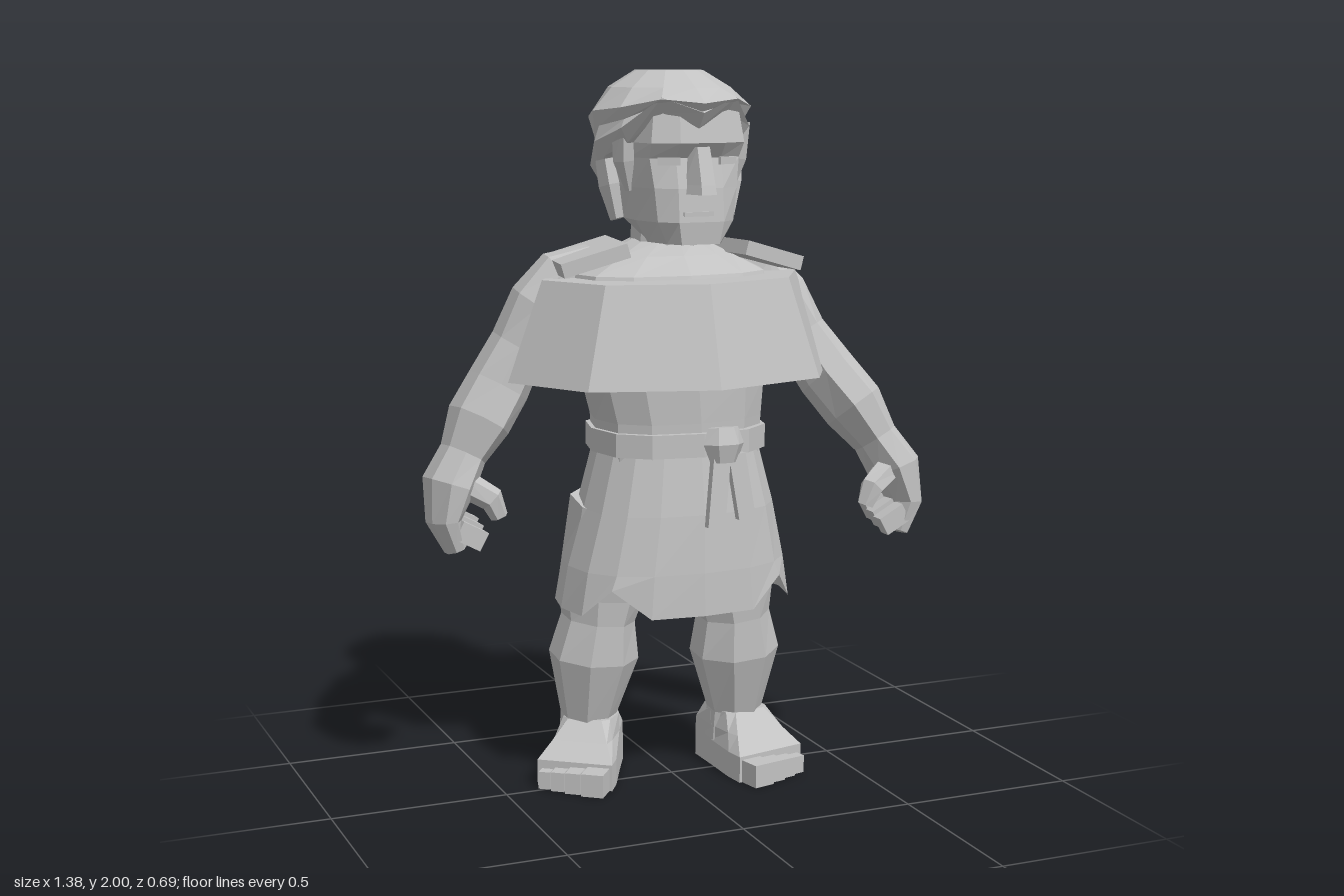
import * as THREE from 'three';

const stone = new THREE.MeshStandardMaterial({ color: 0xc2c2c2 });
stone.name = 'stone grey';
const cloth = stone.clone();
cloth.name = 'stone grey open cloth';
cloth.side = THREE.DoubleSide;

// Horizontal ring, counter-clockwise from above; p < 1 makes it squarer
function ring(cx, y, cz, rx, rz, n = 10, p = 1, turn = 0) {
  const pw = v => Math.sign(v) * Math.abs(v) ** p;
  return Array.from({ length: n }, (_, i) => {
    const a = (i / n) * Math.PI * 2 + turn;
    return new THREE.Vector3(cx + rx * pw(Math.sin(a)), y, cz + rz * pw(Math.cos(a)));
  });
}

// Ring mirrored in x from half an outline, front to back
function mirrorRing(y, half) {
  const right = half.map(([x, z]) => new THREE.Vector3(x, y, z));
  const left = half.map(([x, z]) => new THREE.Vector3(-x, y, z)).reverse();
  return [...right, ...left];
}

// Skin over rings listed from bottom to top
function loft(rings, capped = true) {
  const pos = [];
  const tri = (...v) => v.forEach(q => pos.push(q.x, q.y, q.z));
  const n = rings[0].length;
  for (let i = 0; i + 1 < rings.length; i++) {
    for (let j = 0; j < n; j++) {
      const k = (j + 1) % n;
      const a = rings[i][j], b = rings[i][k], c = rings[i + 1][k], d = rings[i + 1][j];
      tri(a, b, c);
      tri(a, c, d);
    }
  }
  if (capped) {
    [rings[0], rings[rings.length - 1]].forEach((r, top) => {
      const mid = r.reduce((s, v) => s.add(v), new THREE.Vector3()).divideScalar(n);
      for (let j = 0; j < n; j++) {
        const a = r[j], b = r[(j + 1) % n];
        top ? tri(mid, a, b) : tri(mid, b, a);
      }
    });
  }
  const g = new THREE.BufferGeometry();
  g.setAttribute('position', new THREE.Float32BufferAttribute(pos, 3));
  return g;
}

// Limb through [x, y, z, rx, rz] stations, bottom to top, rings square to the path
function limb(stations, n = 8) {
  const c = stations.map(s => new THREE.Vector3(s[0], s[1], s[2]));
  return loft(stations.map((s, i) => {
    const t = c[Math.min(i + 1, c.length - 1)].clone().sub(c[Math.max(i - 1, 0)]).normalize();
    const f = new THREE.Vector3(0, 0, 1).addScaledVector(t, -t.z).normalize();
    const r = new THREE.Vector3().crossVectors(t, f);
    return ring(0, 0, 0, s[3], s[4], n, 1, Math.PI / n)
      .map(v => c[i].clone().addScaledVector(r, v.x).addScaledVector(f, v.z));
  }));
}

function add(parent, name, geometry, material = stone) {
  const g = geometry.index ? geometry.toNonIndexed() : geometry;
  g.computeVertexNormals();
  const m = new THREE.Mesh(g, material);
  m.name = name;
  parent.add(m);
  return m;
}

function box(parent, name, size, at, rot = [0, 0, 0]) {
  const m = add(parent, name, new THREE.BoxGeometry(...size));
  m.position.set(...at);
  m.rotation.set(...rot);
  return m;
}

function addHead(root) {
  const head = new THREE.Group();
  head.name = 'head';
  root.add(head);
  add(head, 'neck', limb([[0, 1.44, -0.03, 0.13, 0.11], [0, 1.52, -0.03, 0.105, 0.1], [0, 1.64, -0.02, 0.1, 0.1]]));
  add(head, 'face', loft([
    mirrorRing(1.54, [[0.055, 0.205], [0.08, 0.16], [0.1, 0.07], [0.08, 0.02], [0.05, -0.06]]),
    mirrorRing(1.6, [[0.065, 0.212], [0.11, 0.17], [0.135, 0.07], [0.13, -0.03], [0.08, -0.12]]),
    mirrorRing(1.69, [[0.065, 0.205], [0.12, 0.17], [0.15, 0.08], [0.15, -0.05], [0.09, -0.15]]),
    mirrorRing(1.77, [[0.065, 0.187], [0.13, 0.16], [0.155, 0.08], [0.16, -0.05], [0.1, -0.16]]),
    mirrorRing(1.81, [[0.065, 0.22], [0.135, 0.185], [0.16, 0.08], [0.16, -0.05], [0.1, -0.16]]),
    mirrorRing(1.92, [[0.06, 0.2], [0.12, 0.17], [0.15, 0.08], [0.15, -0.05], [0.1, -0.15]]),
  ]));
  add(head, 'nose', loft([
    mirrorRing(1.675, [[0.022, 0.262], [0.05, 0.19]]),
    mirrorRing(1.7, [[0.02, 0.255], [0.045, 0.19]]),
    mirrorRing(1.8, [[0.018, 0.222], [0.028, 0.18]]),
  ]));
  box(head, 'mouth', [0.085, 0.012, 0.008], [-0.01, 1.622, 0.212]);
  for (const s of [-1, 1]) {
    box(head, 'eyelid', [0.06, 0.02, 0.009], [s * 0.085, 1.762, 0.187], [0, s * 0.4, 0]);
    add(head, 'ear', limb([
      [s * 0.165, 1.6, 0.01, 0.02, 0.025], [s * 0.18, 1.69, -0.01, 0.03, 0.05],
      [s * 0.19, 1.76, -0.02, 0.025, 0.045],
    ], 6));
    add(head, 'sideburn', limb([
      [s * 0.15, 1.68, 0.06, 0.01, 0.018], [s * 0.165, 1.76, 0.06, 0.03, 0.045], [s * 0.17, 1.86, 0.06, 0.03, 0.06],
    ], 6));
  }
  // Hair cap: short over the brow, low on the nape
  const low = [1.85, 1.89, 1.81, 1.77, 1.7, 1.62, 1.58, 1.62, 1.7, 1.77, 1.81, 1.89];
  const layer = (r, height) => low.map((l, i) => {
    const a = (i / 12) * Math.PI * 2, c = Math.cos(a);
    return new THREE.Vector3(-0.01 + 0.22 * r * Math.sin(a), height(l), (c > 0 ? 0.255 : 0.228) * r * c);
  });
  add(head, 'hair', loft([
    layer(0.85, l => l), layer(0.98, l => l + 0.04), layer(0.92, l => l + (1.94 - l) * 0.48),
    layer(1, l => l + (1.94 - l) * 0.72), layer(0.75, () => 1.955), layer(0.42, () => 2),
  ]));
}

function addArm(root, s) {
  const arm = new THREE.Group();
  arm.name = s > 0 ? 'leftArm' : 'rightArm';
  root.add(arm);
  // The left arm swings forward, the right one hangs back
  const z = s > 0
    ? [0.18, 0.17, 0.15, 0.12, 0.08, 0.03, -0.03, -0.06, -0.08, -0.08]
    : [-0.07, -0.08, -0.09, -0.1, -0.11, -0.12, -0.12, -0.1, -0.09, -0.08];
  const shape = [
    [0.615, 0.7, 0.03, 0.06], [0.645, 0.78, 0.045, 0.09], [0.625, 0.88, 0.07, 0.11], [0.58, 0.96, 0.062, 0.095],
    [0.53, 1.05, 0.085, 0.125], [0.47, 1.14, 0.085, 0.115], [0.41, 1.25, 0.075, 0.11],
    [0.35, 1.36, 0.09, 0.1], [0.29, 1.44, 0.08, 0.08], [0.2, 1.48, 0.05, 0.06],
  ];
  add(arm, 'armAndPalm', limb(shape.map(([x, y, rx, rz], i) => [s * x, y, z[i], rx, rz])));
  add(arm, 'thumb', limb([
    [s * 0.5, 0.79, z[1] + 0.05, 0.025, 0.025], [s * 0.52, 0.84, z[1] + 0.05, 0.035, 0.035],
    [s * 0.6, 0.89, z[2] + 0.03, 0.04, 0.045],
  ], 6));
  for (let i = 0; i < 3; i++) {
    box(arm, 'curledFinger', [0.08, 0.055, 0.042], [s * 0.585, 0.745 + i * 0.012, z[0] + 0.04 - i * 0.045], [0, 0, s * 0.5]);
  }
}

function addLeg(root, s) {
  const leg = new THREE.Group();
  leg.name = s > 0 ? 'leftLeg' : 'rightLeg';
  root.add(leg);
  const dz = s > 0 ? 0 : -0.09;
  add(leg, 'shin', limb([
    [s * 0.21, 0.08, dz - 0.035, 0.085, 0.08], [s * 0.21, 0.17, dz - 0.03, 0.08, 0.08],
    [s * 0.2, 0.35, dz - 0.01, 0.13, 0.12], [s * 0.19, 0.46, dz, 0.105, 0.11],
    [s * 0.18, 0.54, dz, 0.125, 0.12], [s * 0.15, 0.8, dz / 2, 0.13, 0.14],
  ]));
  // Foot turned outwards
  const foot = new THREE.Group();
  foot.name = 'foot';
  foot.position.set(s * 0.22, 0, dz);
  foot.rotation.y = s > 0 ? 0.22 : -0.65;
  leg.add(foot);
  const sole = [[0.11, 0.14], [0.105, 0.08], [0.08, -0.04], [0.06, -0.145]];
  add(foot, 'footBody', loft([
    mirrorRing(0, sole), mirrorRing(0.075, sole),
    mirrorRing(0.12, [[0.08, 0.09], [0.085, 0.05], [0.08, -0.04], [0.06, -0.14]]),
    mirrorRing(0.17, [[0.05, 0.04], [0.07, 0.02], [0.075, -0.05], [0.05, -0.11]]),
  ]));
  [0.07, 0.05, 0.045, 0.04].reduce((x, w, i) => {
    box(foot, 'toe', [w - 0.006, 0.065 - i * 0.005, 0.09], [-s * (0.105 - x - w / 2), 0.033 - i * 0.0025, 0.16 - i * 0.011]);
    return x + w;
  }, 0);
}

export function createModel() {
  const root = new THREE.Group();
  root.name = 'tunicFigure';

  add(root, 'torso', loft([
    ring(0.01, 0.9, 0, 0.23, 0.185, 12, 0.8), ring(0.01, 1.05, 0, 0.24, 0.19, 12, 0.8),
    ring(0, 1.16, 0, 0.26, 0.195, 12, 0.8), ring(0, 1.32, -0.01, 0.3, 0.2, 12, 0.8),
    ring(0, 1.45, -0.03, 0.28, 0.17, 12, 0.8), ring(0, 1.5, -0.04, 0.18, 0.13, 12, 0.8),
    ring(0, 1.54, -0.04, 0.1, 0.1, 12),
  ]));

  // Flared eight-sided cape around the chest
  add(root, 'cape', loft([ring(0, 1.165, 0, 0.48, 0.345, 8), ring(0, 1.44, 0, 0.38, 0.27, 8)]));
  for (const s of [-1, 1]) {
    box(root, 'shoulderDrape', [0.19, 0.04, 0.28], [s * 0.235, 1.495, s > 0 ? -0.01 : -0.05], [0, s * 0.15, -s * 0.28]);
    addArm(root, s);
    addLeg(root, s);
  }

  // Skirt with slits in the hem at front corners and back
  const hem = ring(0.005, 0.52, -0.01, 0.335, 0.24, 16, 0.82);
  [2, 8, 14].forEach(i => { hem[i].y = 0.6; });
  add(root, 'skirt', loft([
    hem, ring(0.005, 0.64, -0.005, 0.315, 0.232, 16, 0.82),
    ring(0.01, 0.8, 0, 0.275, 0.215, 16, 0.82), ring(0.01, 0.97, 0, 0.23, 0.19, 16, 0.82),
  ], false), cloth);

  // Belt with a knot and two hanging ends
  add(root, 'belt', loft([ring(0.01, 0.96, 0, 0.25, 0.208, 12, 0.8), ring(0.01, 1.025, 0, 0.25, 0.208, 12, 0.8)]));
  add(root, 'knot', limb([
    [0.065, 0.945, 0.215, 0.04, 0.025], [0.065, 0.995, 0.215, 0.06, 0.04], [0.065, 1.04, 0.21, 0.045, 0.025],
  ], 6));
  box(root, 'beltEnd', [0.05, 0.2, 0.025], [0.045, 0.865, 0.222], [-0.08, 0, -0.12]);
  box(root, 'beltEnd', [0.05, 0.18, 0.025], [0.115, 0.875, 0.217], [-0.08, 0, 0.14]);

  addHead(root);
  return root;
}
